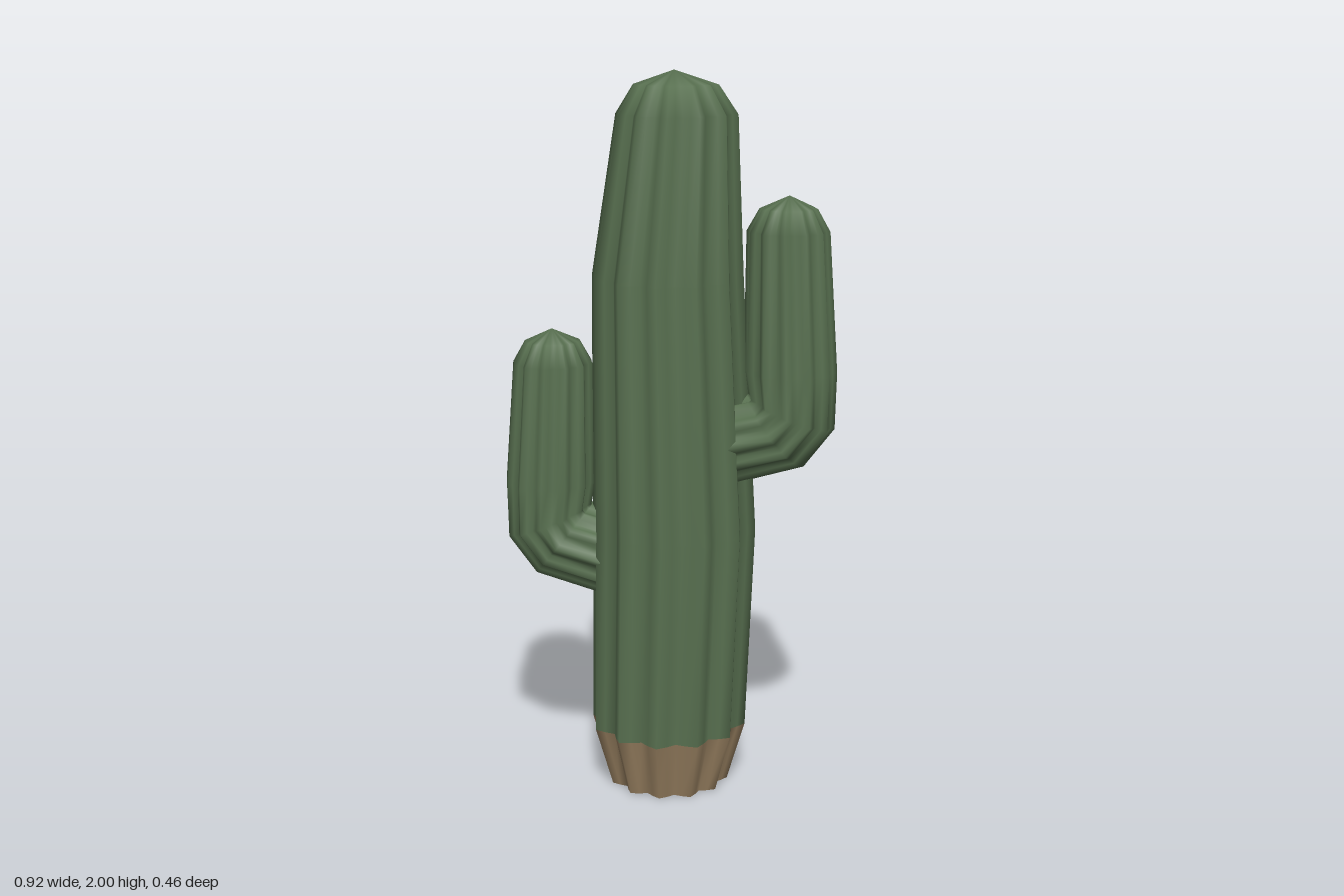
import * as THREE from 'three';
import { mergeVertices } from 'three/addons/utils/BufferGeometryUtils.js';

const RIBS = 12;
const SEGMENTS = RIBS * 4;
const RIB_DEPTH = 0.075;

// Ribbed skin through rings [x, y, radius, tilt]; tilt turns a ring about z, in radians.
function ribbedLoft(rings) {
  const positions = [];
  const index = [];
  for (const [x, y, radius, tilt = 0] of rings) {
    for (let i = 0; i < SEGMENTS; i++) {
      const a = (i / SEGMENTS) * Math.PI * 2;
      const r = radius * (1 - RIB_DEPTH + RIB_DEPTH * Math.cos(a * RIBS));
      const out = r * Math.cos(a);
      positions.push(x + out * Math.cos(tilt), y + out * Math.sin(tilt), r * Math.sin(a));
    }
  }
  for (let k = 0; k < rings.length - 1; k++) {
    for (let i = 0; i < SEGMENTS; i++) {
      const a = k * SEGMENTS + i;
      const b = k * SEGMENTS + ((i + 1) % SEGMENTS);
      index.push(a, a + SEGMENTS, b, b, a + SEGMENTS, b + SEGMENTS);
    }
  }
  const geometry = new THREE.BufferGeometry();
  geometry.setAttribute('position', new THREE.Float32BufferAttribute(positions, 3));
  geometry.setIndex(index);
  const merged = mergeVertices(geometry, 1e-5);
  merged.computeVertexNormals();
  return merged;
}

// Flat end closing the first ring of a loft.
function endCap([x, y, radius, tilt = 0]) {
  return ribbedLoft([[x, y, 0, tilt], [x, y, radius, tilt]]);
}

export function createModel() {
  const green = new THREE.MeshStandardMaterial({ color: 0x587050 });
  green.name = 'cactusGreen';
  const brown = new THREE.MeshStandardMaterial({ color: 0x9a8262 });
  brown.name = 'woodyBrown';

  const model = new THREE.Group();
  model.name = 'cactus';
  const add = (parent, name, geometry, material) => {
    const mesh = new THREE.Mesh(geometry, material);
    mesh.name = name;
    parent.add(mesh);
  };

  // Woody foot, tapering to the ground
  const foot = [0, 0, 0.17];
  const collar = [0, 0.17, 0.22];
  add(model, 'woodyBase', ribbedLoft([foot, collar]), brown);
  add(model, 'underside', endCap(foot), green);

  // Slightly swaying trunk with a domed top
  add(model, 'trunk', ribbedLoft([
    collar,
    [0.015, 0.75, 0.229],
    [-0.003, 1.45, 0.208],
    [0.022, 1.885, 0.165],
    [0.02, 1.962, 0.115],
    [0.015, 2.0, 0],
  ]), green);

  // Arm on +x: elbow rings, then the upright; base and top shift it in height
  const addArm = (name, base, top) => {
    const arm = new THREE.Group();
    arm.name = name;
    const rings = [
      [0.17, 1.0 + base, 0.12, -1.3],
      [0.295, 1.035 + base, 0.128, -0.9],
      [0.338, 1.09 + base, 0.128, -0.37],
      [0.334, 1.2 + base, 0.127],
      [0.323, 1.58 + top, 0.112],
      [0.323, 1.64 + top, 0.078],
      [0.325, 1.675 + top, 0],
    ];
    add(arm, name + 'Stem', ribbedLoft(rings), green);
    add(arm, name + 'Root', endCap(rings[0]), green);
    model.add(arm);
    return arm;
  };
  addArm('leftArm', 0, 0);
  addArm('rightArm', -0.333, -0.375).rotation.y = Math.PI;

  return model;
}
